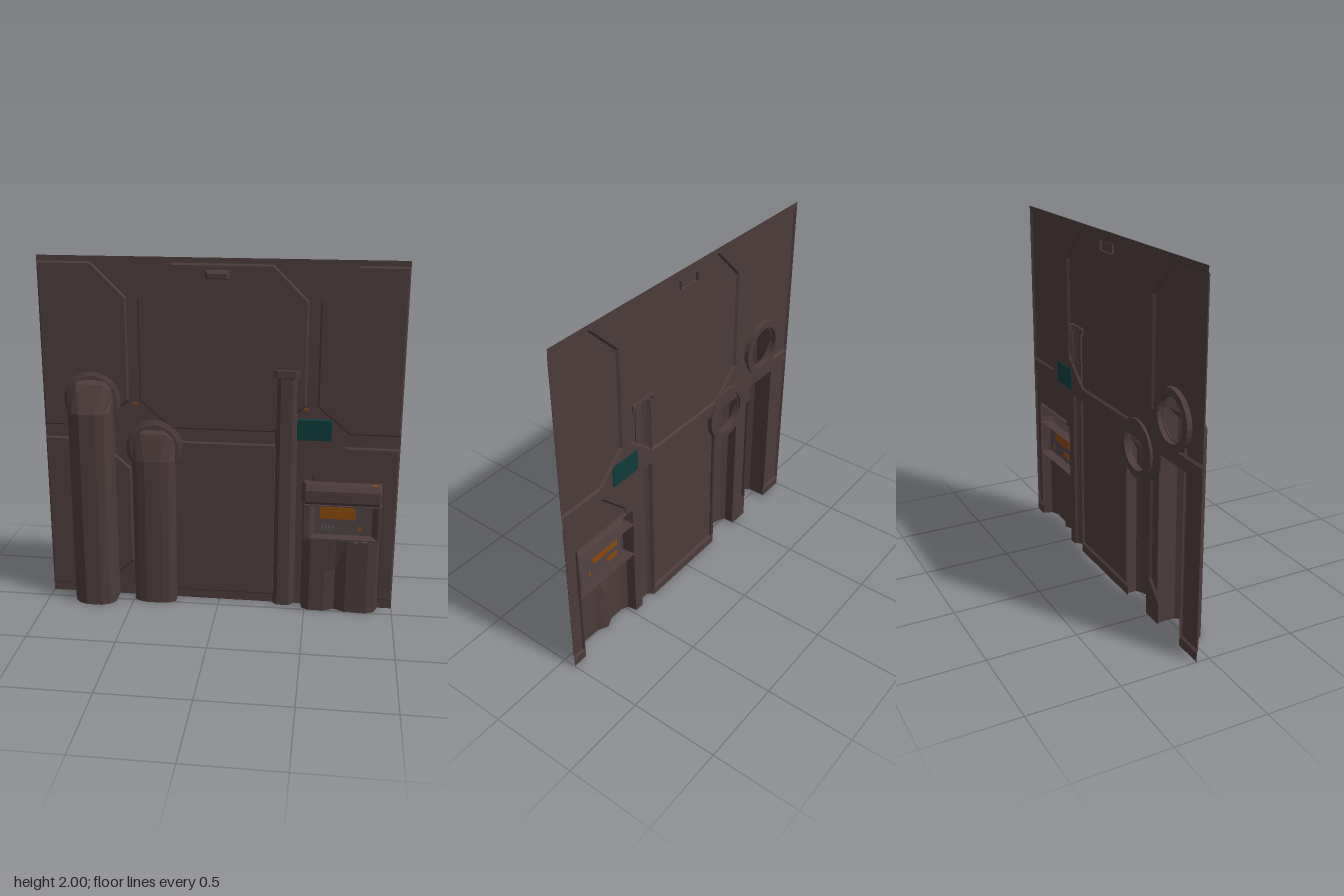
import * as THREE from 'three';

const mat = (name, color) => {
  const m = new THREE.MeshStandardMaterial({ color, side: THREE.DoubleSide, flatShading: true });
  m.name = name;
  return m;
};
const FRONT = -0.062, BACK = -0.075;

export function createModel() {
  const metal = mat('brown metal', 0x4d3b3b);
  const teal = mat('teal light', 0x0e3b3b);
  const orange = mat('orange display', 0x8a480c);
  const grey = mat('grey screen', 0x504246);
  const pale = mat('pale marks', 0x6a6266);

  const model = new THREE.Group();
  model.name = 'wallSection';
  const add = (name, geometry, material = metal) => {
    const mesh = new THREE.Mesh(geometry, material);
    mesh.name = name;
    model.add(mesh);
    return mesh;
  };
  const plate = (name, x0, x1, y0, y1, z0, z1, material) =>
    add(name, new THREE.BoxGeometry(x1 - x0, y1 - y0, z1 - z0), material)
      .position.set((x0 + x1) / 2, (y0 + y1) / 2, (z0 + z1) / 2);

  // Skin between successive cross-sections of [x, y, z] points
  const loft = (sections, closed = false) => {
    const n = sections[0].length, pos = [];
    for (let s = 0; s + 1 < sections.length; s++) {
      for (let i = 0; i < (closed ? n : n - 1); i++) {
        const j = (i + 1) % n;
        const a = sections[s][i], b = sections[s][j], c = sections[s + 1][j], d = sections[s + 1][i];
        pos.push(...a, ...b, ...c, ...a, ...c, ...d);
      }
    }
    const g = new THREE.BufferGeometry();
    g.setAttribute('position', new THREE.Float32BufferAttribute(pos, 3));
    g.computeVertexNormals();
    return g;
  };
  const rect = (x0, x1, y0, y1, z) => [[x0, y0, z], [x1, y0, z], [x1, y1, z], [x0, y1, z]];
  const shapeOf = (pts) => new THREE.Shape(pts.map(([x, y]) => new THREE.Vector2(x, y)));
  const sheet = (name, pts, z, material, hole) => {
    const shape = shapeOf(pts);
    if (hole) shape.holes.push(hole);
    add(name, new THREE.ShapeGeometry(shape, 12), material).position.z = z;
  };
  const box2 = (x0, x1, y0, y1) => [[x0, y0], [x1, y0], [x1, y1], [x0, y1]];

  // Raised wall panels with bevelled rims
  const inset = (pts, b) => pts.map((p, i) => {
    const q = pts[(i + pts.length - 1) % pts.length], r = pts[(i + 1) % pts.length];
    const l1 = Math.hypot(p[0] - q[0], p[1] - q[1]), l2 = Math.hypot(r[0] - p[0], r[1] - p[1]);
    const n1 = [(q[1] - p[1]) / l1, (p[0] - q[0]) / l1], n2 = [(p[1] - r[1]) / l2, (r[0] - p[0]) / l2];
    const k = b / (1 + n1[0] * n2[0] + n1[1] * n2[1]);
    return [p[0] + (n1[0] + n2[0]) * k, p[1] + (n1[1] + n2[1]) * k];
  });
  const panel = (name, pts, hole) => {
    const top = inset(pts, 0.01);
    sheet(name, top, FRONT, metal, hole);
    add(name + 'Rim', loft([pts.map(([x, y]) => [x, y, BACK]), top.map(([x, y]) => [x, y, FRONT])], true));
  };
  const pipeHole = new THREE.Path();
  pipeHole.absarc(-0.717, 1.2, 0.115, 0, Math.PI * 2, true);
  const pillarHole = shapeOf([[0.32, 1.09], [0.42, 1.18], [0.42, 1.39], [0.32, 1.39]]);
  panel('upperRightPanel',
    [[-1, 1.045], [-0.69, 1.045], [-0.51, 1.2], [-0.51, 1.78], [-0.7, 1.97], [-1, 1.97]], pipeHole);
  panel('upperMiddlePanel', [[-0.27, 1.045], [0.3, 1.045], [0.48, 1.2], [0.48, 1.78],
    [0.29, 1.97], [-0.26, 1.97], [-0.45, 1.78], [-0.45, 1.2]], pillarHole);
  panel('upperLeftPanel',
    [[0.72, 1.045], [1, 1.045], [1, 1.97], [0.73, 1.97], [0.54, 1.78], [0.54, 1.2]]);
  panel('lowerRightPanel', box2(-1, -0.83, 0.05, 0.975));
  panel('lowerRightInnerPanel', [[-0.61, 0.125], [-0.505, 0.225], [-0.505, 0.8], [-0.61, 0.895]]);
  panel('lowerMiddlePanel', box2(-0.27, 0.32, 0.05, 0.975));
  panel('lowerLeftPanel', [[0.91, 0.05], [1, 0.05], [1, 0.975], [0.7, 0.975],
    [0.525, 0.8], [0.525, 0.755], [0.91, 0.755]]);

  // Recessed channels between the panels
  const groove = (pts) => sheet('groove', pts, BACK, metal);
  groove(box2(-1, 1, 1.97, 2));
  for (const c of [-0.48, 0.51]) {
    groove([[c - 0.03, 1.2], [c + 0.03, 1.2], [c + 0.03, 1.78], [c + 0.22, 1.97],
      [c - 0.22, 1.97], [c - 0.03, 1.78]]);
    groove([[c - 0.21, 0.975], [c + 0.21, 0.975], [c + 0.21, 1.045], [c + 0.03, 1.2],
      [c - 0.03, 1.2], [c - 0.21, 1.045]]);
  }
  for (const [a, b] of [[-1, -0.69], [-0.27, 0.3], [0.72, 1]]) groove(box2(a, b, 0.975, 1.045));
  for (const [a, b] of [[-1, -0.83], [-0.27, 0.32], [0.91, 1]]) groove(box2(a, b, 0, 0.05));
  groove([[-0.61, 0], [-0.48, 0], [-0.48, 0.975], [-0.61, 0.975], [-0.61, 0.895],
    [-0.505, 0.8], [-0.505, 0.225], [-0.61, 0.125]]);
  groove([[0.42, 0], [0.48, 0], [0.48, 0.755], [0.525, 0.755], [0.525, 0.8], [0.7, 0.975], [0.42, 0.975]]);

  // Pipes that rise, bend back and enter the wall through a collar
  const pipe = (x, top, front, collarY) => {
    const mirror = (half) => [...half, ...half.map(([u, y, z]) => [-u, y, z]).reverse()]
      .map(([u, y, z]) => [x + u, y, z]);
    const depth = front - BACK, z = (d) => BACK + d * depth;
    const upright = (y) => mirror([[-0.12, y, BACK], [-0.12, y, z(0.65)], [-0.09, y, z(0.87)], [-0.045, y, front]]);
    const bend = [[-0.12, top - 0.14], [-0.12, top - 0.1], [-0.108, top - 0.045], [-0.075, top - 0.01]];
    add('pipe', loft([upright(0), upright(top - 0.16),
      mirror(bend.map(([u, y], i) => [u, y, z([0, 0.3, 0.45, 0.5][i])])),
      mirror(bend.map(([u, y]) => [u, y + 0.01, BACK]))]));
    const profile = [[0.122, -0.09], [0.163, -0.09], [0.163, -0.062], [0.14, -0.05], [0.122, -0.05], [0.122, -0.09]];
    const collar = add('pipeCollar',
      new THREE.LatheGeometry(profile.map(([r, h]) => new THREE.Vector2(r, h)), 24));
    collar.rotation.x = Math.PI / 2;
    collar.position.set(x, collarY, 0);
  };
  pipe(-0.717, 1.315, 0.09, 1.2);
  pipe(-0.37, 1.03, 0.02, 0.928);

  // Pillar with a wider cap
  const post = (x0, x1, y, f) => [[x0, y, BACK], [x0 + 0.012, y, f - 0.015], [x0 + 0.03, y, f],
    [x1 - 0.03, y, f], [x1 - 0.012, y, f - 0.015], [x1, y, BACK]];
  add('pillar', loft([post(0.31, 0.435, 0, -0.04), post(0.31, 0.435, 1.37, -0.04)]));
  add('pillarCap', loft([post(0.31, 0.435, 1.36, -0.04), post(0.29, 0.45, 1.365, -0.035),
    post(0.29, 0.45, 1.405, -0.035), post(0.29, 0.45, 1.405, BACK)]));

  // Console: fluted base, hood and recessed screen
  const base = (y, valley) => [[0.475, BACK], [0.485, -0.02], [0.525, 0], [0.61, 0], [0.67, valley],
    [0.73, 0], [0.85, 0.005], [0.9, -0.02], [0.92, BACK]].map(([x, z]) => [x, y, z]);
  add('consoleBase', loft([base(0, -0.03), base(0.25, -0.025), base(0.44, 0)]));
  const hood = (y, f, e = 0) => [[0.465 + e, y, BACK], [0.49 + e, y, f], [0.9 - e, y, f], [0.92 - e, y, BACK]];
  add('consoleHood', loft([hood(0.645, -0.02), hood(0.675, 0.015), hood(0.74, 0.015),
    hood(0.77, -0.01, 0.005), hood(0.77, BACK, 0.005)]));
  add('screenFrame', loft([rect(0.475, 0.92, 0.44, 0.65, BACK), rect(0.485, 0.91, 0.44, 0.65, 0),
    rect(0.515, 0.895, 0.45, 0.645, 0), rect(0.545, 0.865, 0.465, 0.64, -0.035)], true));
  sheet('screen', box2(0.545, 0.865, 0.465, 0.64), -0.035, grey);
  const display = new THREE.ExtrudeGeometry(shapeOf([[0.575, 0.56], [0.76, 0.56], [0.775, 0.575],
    [0.775, 0.61], [0.755, 0.63], [0.575, 0.63]]), { depth: 0.008, bevelEnabled: false });
  add('display', display, orange).position.z = -0.039;
  for (let i = 0; i < 4; i++) {
    plate('screenMark', 0.585 + i * 0.02, 0.591 + i * 0.02, 0.495, 0.52, -0.034, -0.031, pale);
  }
  plate('rearIndicator', 0.58, 0.66, 0.49, 0.525, -0.039, -0.036, orange);
  plate('indicator', 0.793, 0.808, 0.495, 0.52, -0.039, -0.031, orange);
  plate('hoodLamp', 0.86, 0.89, 0.768, 0.773, -0.04, -0.015, orange);

  // Wall light, small lamps and the upper grip
  add('wallLight', loft([rect(0.432, 0.625, 1.005, 1.13, -0.08), rect(0.432, 0.62, 1.01, 1.125, -0.055)], true), teal);
  sheet('wallLightFace', box2(0.432, 0.62, 1.01, 1.125), -0.055, teal);
  sheet('wallLightRear', box2(0.432, 0.625, 1.005, 1.13), -0.08, teal);
  for (const x of [-0.473, 0.48]) plate('smallLamp', x - 0.015, x + 0.015, 1.181, 1.189, -0.07, -0.061, orange);
  add('grip', loft([rect(-0.08, 0.06, 1.89, 1.94, BACK), rect(-0.075, 0.055, 1.89, 1.935, -0.055),
    rect(-0.06, 0.04, 1.895, 1.92, -0.038)], true));
  sheet('gripFace', box2(-0.06, 0.04, 1.895, 1.92), -0.038, metal);
  return model;
}
